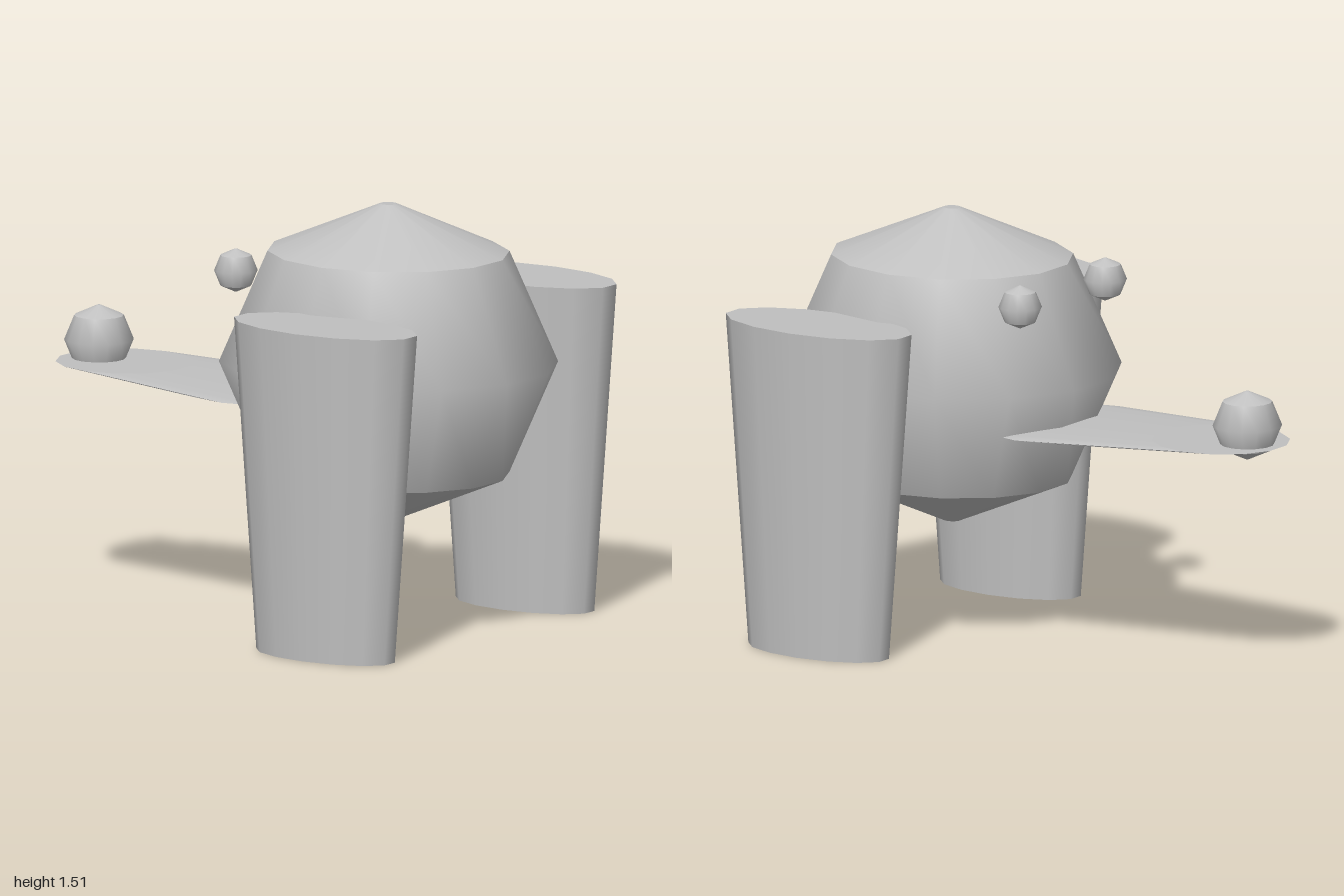
import * as THREE from 'three';
import { mergeGeometries } from 'three/addons/utils/BufferGeometryUtils.js';

const SIDES = 14;
const START = Math.PI / 2; // puts a corner on the x axis and a flat towards z

export function createModel() {
  const model = new THREE.Group();
  model.name = 'creature';
  const grey = new THREE.MeshStandardMaterial({ color: 0xc0c0c0 });
  grey.name = 'grey';

  function add(name, geometry, x, y, z) {
    const mesh = new THREE.Mesh(geometry, grey);
    mesh.name = name;
    mesh.position.set(x, y, z);
    model.add(mesh);
  }

  // Coarse ball: lathe bands kept apart so the shoulders stay creased
  function orb(rx, ry, rz) {
    const bands = [
      [[0, -1], [0.05, -1]],
      [[0.05, -1], [0.714, -0.7]],
      [[0.714, -0.7], [1, 0], [0.714, 0.7]],
      [[0.714, 0.7], [0.05, 1]],
      [[0.05, 1], [0, 1]],
    ];
    const parts = bands.map((band) =>
      new THREE.LatheGeometry(band.map(([r, y]) => new THREE.Vector2(r, y)), SIDES, START));
    return mergeGeometries(parts).scale(rx, ry, rz);
  }

  // Tapered oval post
  function post(top, bottom, height, depthScale) {
    return new THREE.CylinderGeometry(top, bottom, height, SIDES, 1, false, START)
      .scale(1, 1, depthScale);
  }

  add('body', orb(0.56, 0.565, 0.62), 0, 0.945, 0.39);

  for (const side of [-1, 1]) {
    const label = side > 0 ? 'left' : 'right';
    add(label + 'Leg', post(0.185, 0.14, 1.18, 2.04), side * 0.6, 0.59, 0.55);
    add(label + 'Ear', orb(0.077, 0.077, 0.077), side * 0.266, 1.26, -0.081);
  }

  // Flat tail: a very short post sheared backwards
  const tailHeight = 0.026;
  const tail = post(0.235, 0.327, tailHeight, 1.068);
  tail.applyMatrix4(new THREE.Matrix4().makeShear(0, 0, 0, -0.655 / tailHeight, 0, 0));
  add('tail', tail, 0, 0.804, -0.4275);

  add('tailBall', orb(0.123, 0.123, 0.123), 0, 0.884, -0.868);

  return model;
}
